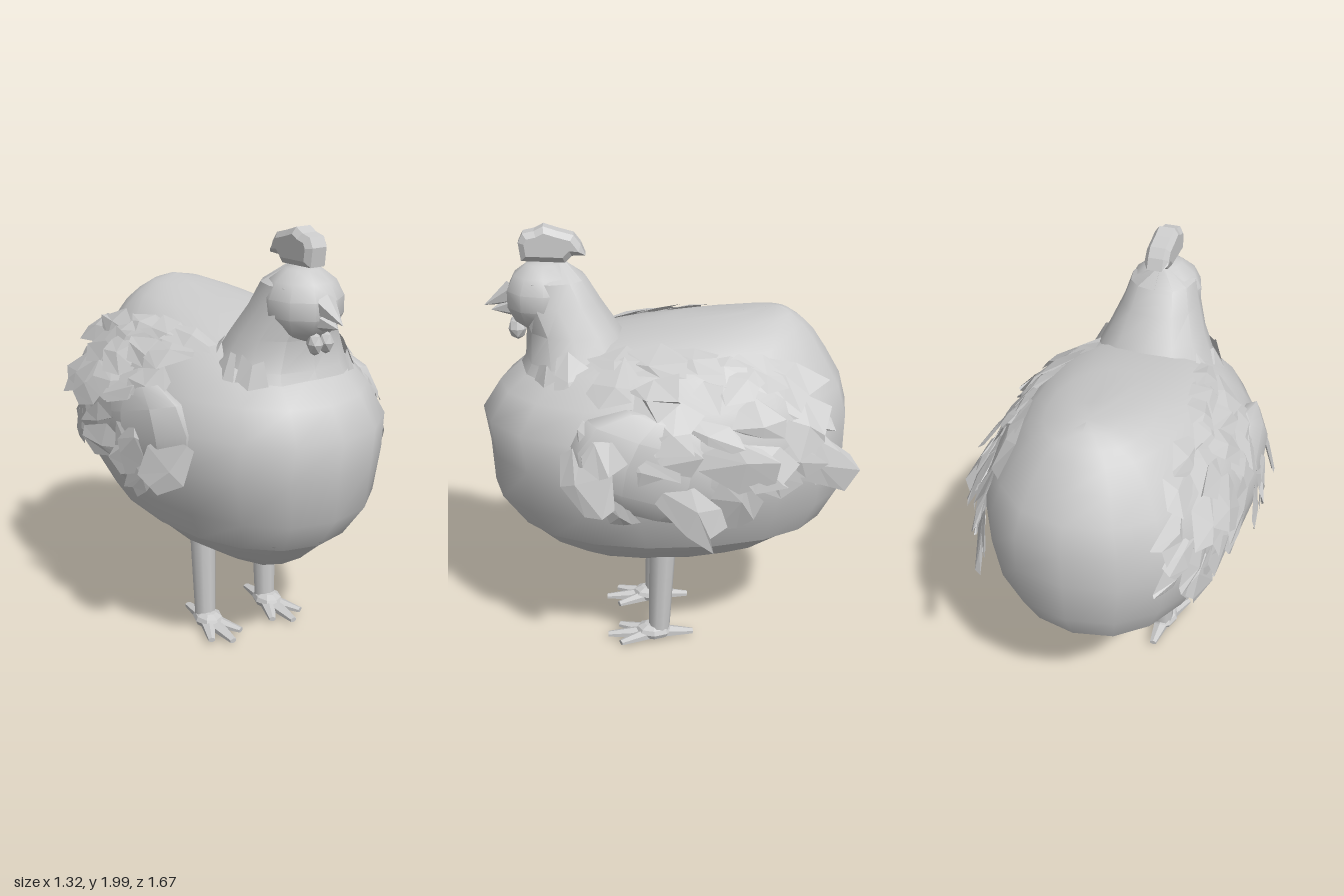
import * as THREE from 'three';
import { toCreasedNormals } from 'three/addons/utils/BufferGeometryUtils.js';

const grey = new THREE.MeshStandardMaterial({ color: 0xcccccc, side: THREE.DoubleSide });
const flat = new THREE.MeshStandardMaterial({ color: 0xcccccc, side: THREE.DoubleSide, flatShading: true });

// Seeded random in -1..1
let seed = 11;
const rnd = () => {
  seed = (seed * 16807) % 2147483647;
  return (seed / 2147483647) * 2 - 1;
};

// Rings: [y, front z, back z, half width], bottom to top
const BELLY = [[0.4, 0.1, -0.28, 0], [0.445, 0.44, -0.4, 0.18], [0.53, 0.57, -0.55, 0.32], [0.67, 0.72, -0.73, 0.44]];
const PLUMAGE = [
  [0.645, 0.7, -0.73, 0.45], [0.8, 0.81, -0.81, 0.535], [1.0, 0.82, -0.82, 0.585], [1.17, 0.845, -0.825, 0.57],
  [1.3, 0.76, -0.79, 0.505], [1.42, 0.62, -0.72, 0.42], [1.51, 0.34, -0.66, 0.33], [1.56, 0.0, -0.61, 0.23],
  [1.6, -0.32, -0.55, 0.12], [1.62, -0.46, -0.5, 0],
];
const NECK = [
  [1.25, 0.74, 0.06, 0.38], [1.42, 0.64, 0.14, 0.29], [1.55, 0.63, 0.22, 0.23],
  [1.67, 0.67, 0.3, 0.18], [1.77, 0.67, 0.36, 0.15], [1.85, 0.58, 0.46, 0],
];

// Point on one ring: slightly squarer at the tail than at the breast
function ringPoint([y, zf, zb, w], a) {
  const c = Math.cos(a), s = Math.sin(a);
  const e = c > 0 ? 0.95 : 0.88;
  const p = (v) => Math.sign(v) * Math.abs(v) ** e;
  return new THREE.Vector3(w * p(s), y, (zf + zb) / 2 + ((zf - zb) / 2) * p(c));
}

function surfacePoint(rings, y, a) {
  let i = 0;
  while (i < rings.length - 2 && rings[i + 1][0] < y) i++;
  const t = (y - rings[i][0]) / (rings[i + 1][0] - rings[i][0]);
  return ringPoint(rings[i].map((v, k) => v + (rings[i + 1][k] - v) * t), a);
}

function loft(rings, sides, crease) {
  const pos = [], idx = [];
  rings.forEach((r, j) => {
    for (let i = 0; i < sides; i++) {
      pos.push(...ringPoint(r, (i / sides) * Math.PI * 2).toArray());
      if (j === 0) continue;
      const n = (i + 1) % sides, a = (j - 1) * sides, b = j * sides;
      idx.push(a + i, a + n, b + n, a + i, b + n, b + i);
    }
  });
  const g = new THREE.BufferGeometry();
  g.setAttribute('position', new THREE.Float32BufferAttribute(pos, 3));
  g.setIndex(idx);
  return toCreasedNormals(g, crease);
}

// Ragged bent feather: root at origin, tip along +y, face along +z
function featherGeometry(len, wid) {
  const g = new THREE.PlaneGeometry(wid, len, 2, 2);
  const p = g.attributes.position;
  const widths = [0.45, 1, 0.6];
  for (let i = 0; i < p.count; i++) {
    const row = 2 - Math.floor(i / 3);
    const x = p.getX(i) * widths[row];
    p.setXYZ(i, x + rnd() * wid * 0.18, p.getY(i) + len / 2 + rnd() * len * 0.16,
      -Math.abs(x) * 0.2 + (row === 1 ? 0.01 : 0));
  }
  return g;
}

export function createModel() {
  const model = new THREE.Group();
  const add = (parent, name, geo, mat = grey, x = 0, y = 0, z = 0) => {
    const m = new THREE.Mesh(geo, mat);
    m.name = name;
    m.position.set(x, y, z);
    parent.add(m);
    return m;
  };

  // Body, underside and neck
  add(model, 'plumage', loft(PLUMAGE, 18, 0.95));
  add(model, 'belly', loft(BELLY, 14, 0.4));
  add(model, 'neck', loft(NECK, 12, 0.6));

  // Head
  const head = new THREE.Group();
  head.name = 'head';
  model.add(head);
  add(head, 'skull', toCreasedNormals(new THREE.SphereGeometry(1, 10, 7), 0.7), grey, 0, 1.685, 0.545).scale.set(0.175, 0.165, 0.175);
  for (const [name, y, z, len, tilt] of [['upperBeak', 1.675, 0.75, 0.14, 2.0], ['lowerBeak', 1.635, 0.73, 0.11, 1.75]]) {
    const beak = add(head, name, new THREE.ConeGeometry(0.055, len, 6), flat, 0, y, z);
    beak.rotation.x = tilt;
  }
  for (const s of [1, -1]) {
    const wattle = add(head, 'wattle', new THREE.OctahedronGeometry(0.045, 1), flat, s * 0.028, 1.545, 0.67);
    wattle.scale.set(0.7, 1.1, 0.9);
  }

  // Comb: jagged crest cut from a side outline
  const crest = new THREE.Shape([[0.64, 1.85], [0.65, 1.93], [0.63, 1.97], [0.58, 1.98], [0.54, 2.0], [0.48, 1.98],
    [0.41, 1.96], [0.38, 1.92], [0.36, 1.87], [0.42, 1.87], [0.45, 1.84]].map(([z, y]) => new THREE.Vector2(-z, y)));
  const comb = add(head, 'comb', new THREE.ExtrudeGeometry(crest, {
    depth: 0.07, bevelEnabled: true, bevelThickness: 0.02, bevelSize: 0.025, bevelOffset: -0.025, bevelSegments: 1,
  }), flat, -0.035, 0, 0);
  comb.rotation.y = Math.PI / 2;

  // Lays a feather on a lofted surface, pointing along the given direction
  const layFeather = (parent, rings, y, a, len, wid, dir, lift) => {
    const p = surfacePoint(rings, y, a);
    const up = surfacePoint(rings, y + 0.03, a).sub(p);
    const along = surfacePoint(rings, y, a + 0.05).sub(p);
    const n = along.cross(up).normalize();
    if (n.dot(new THREE.Vector3(p.x, 0.1, p.z)) < 0) n.negate();
    const d = dir.clone().addScaledVector(n, -dir.dot(n)).normalize().addScaledVector(n, lift).normalize();
    const side = new THREE.Vector3().crossVectors(d, n).normalize();
    n.crossVectors(side, d);
    const f = add(parent, 'feather', featherGeometry(len, wid), flat);
    f.quaternion.setFromRotationMatrix(new THREE.Matrix4().makeBasis(side, d, n));
    f.position.copy(p).addScaledVector(n, 0.015);
  };

  for (const s of [1, -1]) {
    // Wing: folded shell covered with overlapping feathers
    const wing = new THREE.Group();
    wing.name = s > 0 ? 'leftWing' : 'rightWing';
    model.add(wing);
    const shell = add(wing, 'wingShell', toCreasedNormals(new THREE.SphereGeometry(1, 9, 6), 0.6), grey, s * 0.49, 1.06, 0.08);
    shell.scale.set(0.12, 0.25, 0.4);
    shell.rotation.x = -0.3;
    for (let row = 0; row < 4; row++) {
      for (let i = 0; i < 5; i++) {
        const a = s * (1.08 + i * 0.23 + row * 0.06 + rnd() * 0.08);
        const dir = new THREE.Vector3(0, -0.5 + rnd() * 0.6, -1);
        layFeather(wing, PLUMAGE, 1.42 - row * 0.14 + rnd() * 0.05, a, 0.25 + rnd() * 0.07, 0.2 + rnd() * 0.06, dir, 0.08 + rnd() * 0.12);
      }
    }
    // Pointed flap at the front of the wing
    layFeather(wing, PLUMAGE, 1.15, s * 1.05, 0.28, 0.22, new THREE.Vector3(0, -0.9, -0.5), 0.08);

    // Saddle feathers, and tail-side feathers standing off the rump
    for (let i = 0; i < 5; i++) {
      layFeather(model, PLUMAGE, 1.47 + rnd() * 0.03, s * (0.8 + i * 0.25), 0.24, 0.18, new THREE.Vector3(s * 0.2, 0, -1), rnd() * 0.05);
    }
    for (let i = 0; i < 3; i++) {
      layFeather(model, PLUMAGE, 1.08 + i * 0.1, s * (2.2 + rnd() * 0.1), 0.2, 0.15, new THREE.Vector3(0, -0.4, -1), 0.1);
    }

    // Hackle points where the neck meets the breast
    for (let i = 0; i < 3; i++) {
      layFeather(model, NECK, 1.47 + rnd() * 0.04, s * (0.9 + i * 0.6), 0.24, 0.2, new THREE.Vector3(s * 0.3, -1, 0), 0);
    }

    // Leg
    const leg = new THREE.Group();
    leg.name = s > 0 ? 'leftLeg' : 'rightLeg';
    leg.position.x = s * 0.175;
    model.add(leg);
    add(leg, 'shank', new THREE.CylinderGeometry(0.062, 0.05, 0.46, 10), grey, 0, 0.275, 0.045).rotation.x = -0.04;
    add(leg, 'footPad', new THREE.SphereGeometry(0.06, 8, 6), flat, 0, 0.05, 0.08).scale.set(1.15, 0.7, 1.5);

    // Toes: three forward, one back, each flattened and tapered
    for (const [angle, len] of [[-0.45, 0.19], [0, 0.23], [0.45, 0.19], [Math.PI, 0.18]]) {
      const toe = new THREE.CylinderGeometry(0.018, 0.046, len, 6);
      toe.translate(0, len / 2, 0).rotateX(Math.PI / 2).scale(1, 0.7, 1).rotateX(0.05).rotateY(angle);
      add(leg, 'toe', toe, flat, 0, 0.042, 0.07);
    }
  }
  return model;
}
